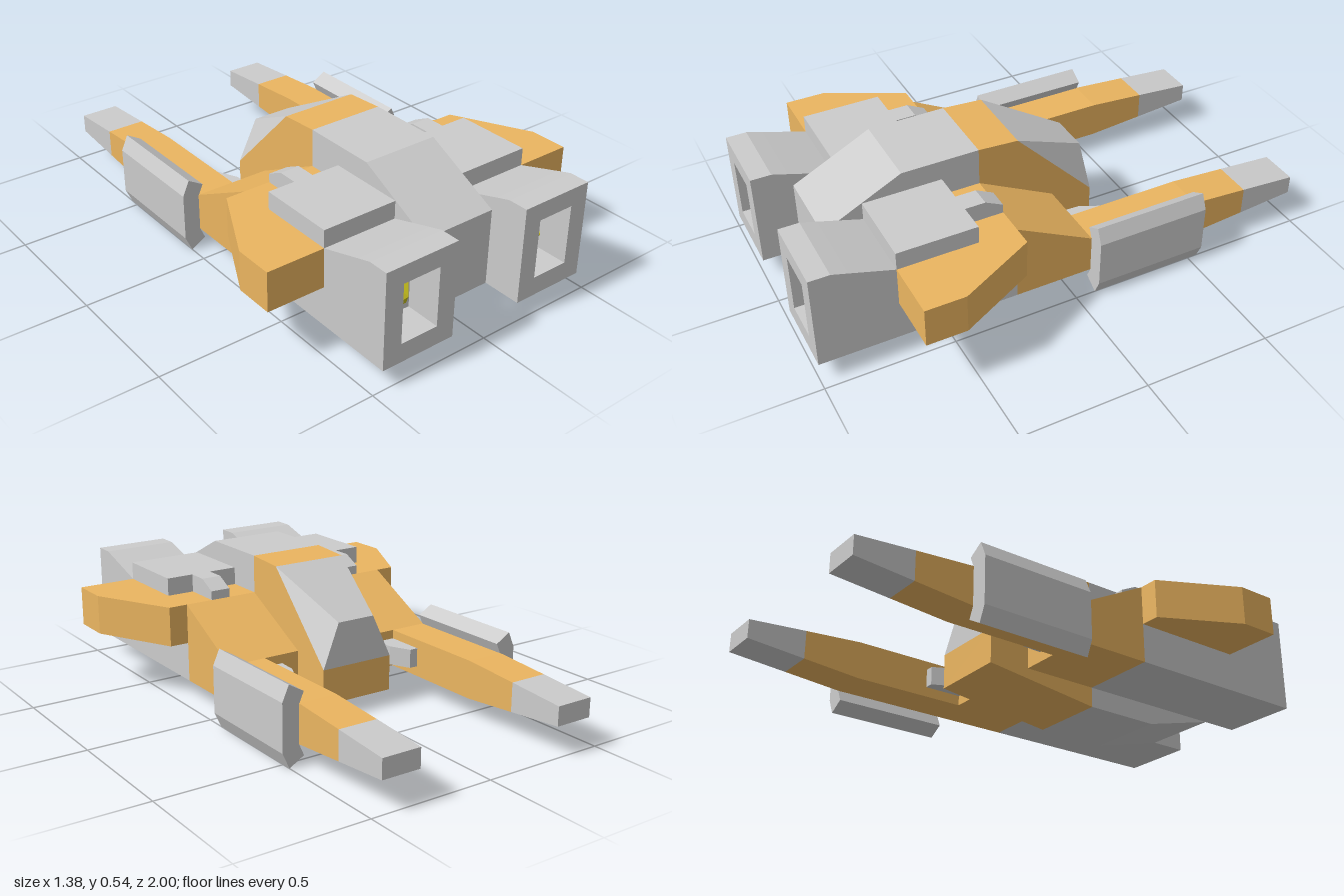
import * as THREE from 'three';

const material = (color) => new THREE.MeshStandardMaterial({ color, flatShading: true });

export function createModel() {
  const model = new THREE.Group();
  const grey = material(0xcccccc);
  const orange = material(0xebb560);
  const yellow = material(0xd0c820);

  const add = (name, geometry, mat, parent = model) => {
    const mesh = new THREE.Mesh(geometry, mat);
    mesh.name = name;
    parent.add(mesh);
    return mesh;
  };
  const shapeOf = (pts) => new THREE.Shape(pts.map(([a, b]) => new THREE.Vector2(a, b)));
  const extrude = (shape, depth) => new THREE.ExtrudeGeometry(shape, { depth, bevelEnabled: false });

  // Side outline in (z, y), spanning xa..xb
  const sideProfile = (pts, xa, xb) =>
    extrude(shapeOf(pts), Math.abs(xb - xa)).rotateY(-Math.PI / 2).translate(Math.max(xa, xb), 0, 0);
  // Plan outline in (x, z), spanning y0..y1
  const planProfile = (pts, y0, y1) =>
    extrude(shapeOf(pts), y1 - y0).rotateX(Math.PI / 2).translate(0, y1, 0);
  // Front outline in (x, y), spanning z0..z1
  const frontProfile = (shape, z0, z1) => extrude(shape, z1 - z0).translate(0, 0, z0);

  // Central hull
  add('hullFront', sideProfile(
    [[0.845, 0.08], [0.845, 0.385], [0.535, 0.54], [0.23, 0.54], [0.23, 0], [0.535, 0]], -0.155, 0.155), grey);
  add('hullRear', sideProfile(
    [[0.23, 0], [0.23, 0.54], [0.07, 0.53], [-0.25, 0.2], [-0.25, 0.06]], -0.155, 0.155), orange);

  // Faceted canopy: wide at the hull, narrow at the outer ridge
  const A = [-0.155, 0.53, 0.07], B = [0.155, 0.53, 0.07];
  const C = [-0.08, 0.37, -0.24], D = [0.08, 0.37, -0.24];
  const E = [-0.155, 0.2, -0.25], F = [0.155, 0.2, -0.25];
  const canopy = new THREE.BufferGeometry();
  canopy.setAttribute('position', new THREE.Float32BufferAttribute(
    [A, B, D, A, D, C, B, F, D, A, C, E, C, D, F, C, F, E].flat(), 3));
  canopy.computeVertexNormals();
  add('canopy', canopy, grey);

  for (const s of [1, -1]) {
    const side = new THREE.Group();
    side.name = s > 0 ? 'leftSide' : 'rightSide';
    model.add(side);
    const x0 = 0.155 * s, x1 = 0.46 * s;
    const flip = (pts) => pts.map(([x, v]) => [x * s, v]);

    // Engine pod: lower base, sloping middle and hollow front
    add('podBase', sideProfile(
      [[0.23, 0.08], [0.69, 0.08], [0.69, 0.235], [0.23, 0.235]], x0, x1), grey, side);
    add('podMiddle', sideProfile(
      [[0.69, 0.08], [0.86, 0.08], [0.86, 0.442], [0.69, 0.39]], x0, x1), grey, side);
    const frame = shapeOf(flip([[0.155, 0.08], [0.46, 0.08], [0.46, 0.46], [0.155, 0.46]]));
    frame.holes.push(shapeOf(flip([[0.23, 0.155], [0.23, 0.39], [0.385, 0.39], [0.385, 0.155]])));
    add('podMouth', frontProfile(frame, 0.92, 1), grey, side);
    const inner = frontProfile(frame, 0.86, 0.92);
    const p = inner.attributes.position;
    for (let i = 0; i < p.count; i++) {
      if (p.getY(i) > 0.45 && p.getZ(i) < 0.9) p.setY(i, 0.442);
    }
    inner.computeVertexNormals();
    add('podThroat', inner, grey, side);

    // Pyramid lamp inside the pod
    const lamp = new THREE.ConeGeometry(Math.SQRT1_2, 1, 4, 1)
      .rotateY(Math.PI / 4).rotateX(Math.PI / 2).scale(0.13, 0.195, 0.08);
    add('podLamp', lamp, yellow, side).position.set(0.3075 * s, 0.2725, 0.9);

    // Wing slab, running inward to the hull
    add('wing', planProfile(flip(
      [[0.155, 0.23], [0.535, 0.23], [0.69, 0.535], [0.69, 0.69], [0.155, 0.69]]), 0.235, 0.39), orange, side);

    // Raised panel with a sloping tab
    add('topPanel', sideProfile(
      [[0.38, 0.39], [0.69, 0.39], [0.69, 0.46], [0.38, 0.46]], x0, x1), grey, side);
    add('panelTab', sideProfile(
      [[0.23, 0.39], [0.38, 0.39], [0.38, 0.46], [0.3, 0.46], [0.23, 0.425]], 0.27 * s, 0.35 * s), grey, side);

    // Sloping shoulder and long tapering boom
    add('shoulder', sideProfile(
      [[0.23, 0.08], [0.23, 0.39], [-0.08, 0.23], [-0.08, 0.08]], x0, x1), orange, side);
    add('boom', sideProfile(
      [[-0.08, 0.08], [-0.08, 0.23], [-0.54, 0.23], [-0.77, 0.213], [-0.77, 0.1], [-0.54, 0.08]],
      0.305 * s, x1), orange, side);
    add('boomTip', sideProfile(
      [[-0.77, 0.1], [-0.77, 0.213], [-1, 0.195], [-1, 0.12]], 0.305 * s, x1), grey, side);

    // Small fin in the corner of shoulder and boom
    add('cornerFin', planProfile(flip(
      [[0.31, -0.08], [0.31, -0.235], [0.27, -0.235], [0.232, -0.155], [0.228, -0.08]]), 0.12, 0.195), grey, side);

    // Folded plate on the outside of the boom
    add('sidePlate', frontProfile(shapeOf(flip(
      [[0.46, 0.08], [0.44, 0.035], [0.5, 0], [0.527, 0.06],
        [0.527, 0.245], [0.5, 0.305], [0.44, 0.27], [0.46, 0.225]])), -0.54, -0.08), grey, side);
  }
  return model;
}
